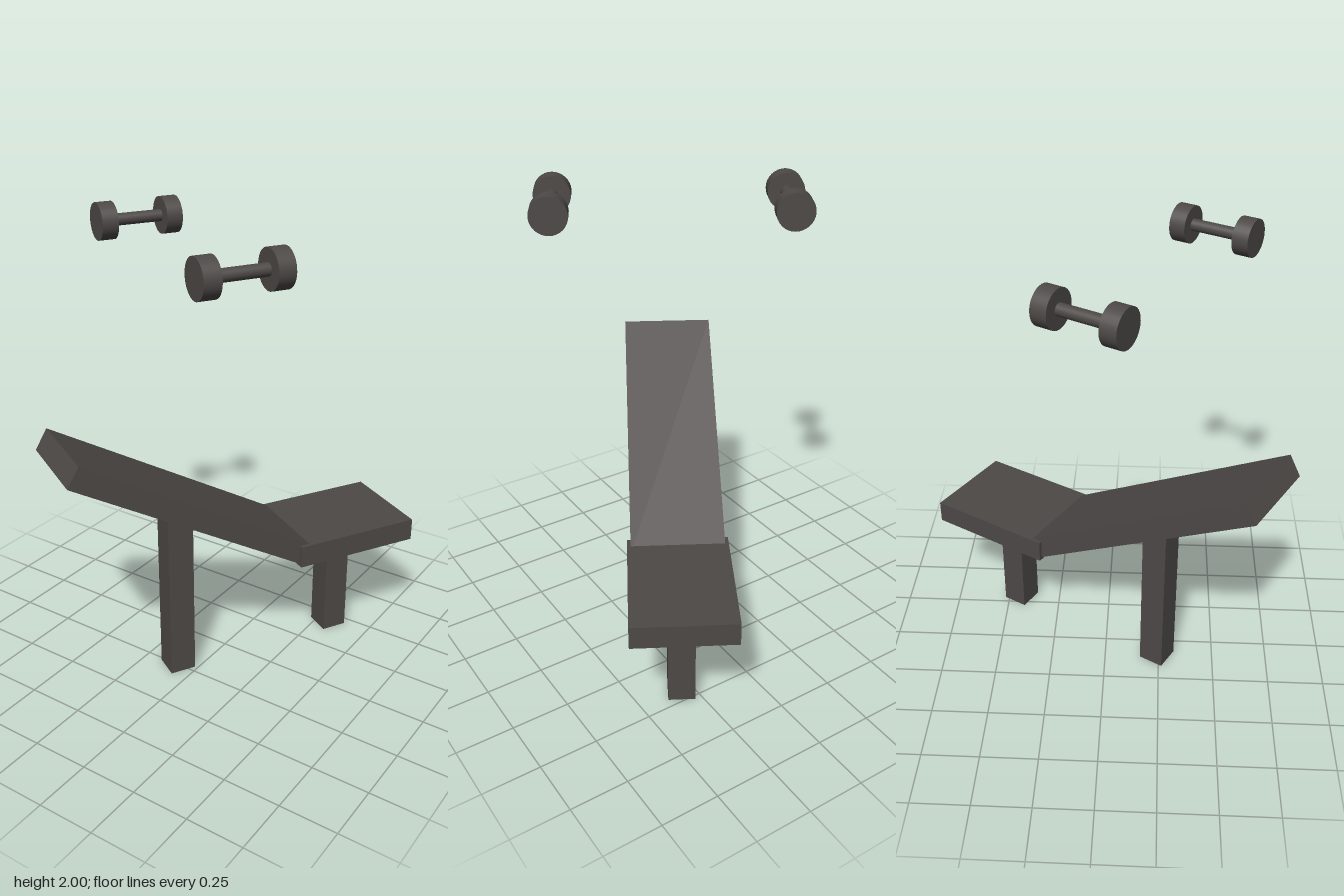
import * as THREE from 'three';

export function createModel() {
  const model = new THREE.Group();
  model.name = 'weightBench';
  const charcoal = new THREE.MeshStandardMaterial({ color: 0x4d4947 });
  charcoal.name = 'charcoal';

  const add = (parent, name, geometry, x, y, z) => {
    const mesh = new THREE.Mesh(geometry, charcoal);
    mesh.name = name;
    mesh.position.set(x, y, z);
    parent.add(mesh);
    return mesh;
  };

  // Everything is laid out along local z, then turned as a whole
  const axisX = 0.041;
  model.rotation.y = -Math.PI / 6;

  // Flat seat and inclined backrest
  add(model, 'seat', new THREE.BoxGeometry(0.43, 0.1, 0.577), axisX, 0.537, -0.534);
  const back = add(model, 'backrest', new THREE.BoxGeometry(0.4, 0.1, 1.21), axisX, 0.83, 0.229);
  back.rotation.x = -Math.PI / 6;

  // Square posts
  const post = (name, height, z) =>
    add(model, name, new THREE.BoxGeometry(0.115, height, 0.115), axisX, height / 2, z);
  post('backrestLeg', 0.785, 0.256);
  post('seatLeg', 0.5, -0.532);

  // A pair of dumbbells floating either side of the bench
  const headGeometry = new THREE.CylinderGeometry(0.078, 0.078, 0.07, 32).rotateX(Math.PI / 2);
  const barGeometry = new THREE.CylinderGeometry(0.025, 0.025, 0.29, 24).rotateX(Math.PI / 2);
  for (const side of [-1, 1]) {
    const dumbbell = new THREE.Group();
    dumbbell.name = side < 0 ? 'rightDumbbell' : 'leftDumbbell';
    dumbbell.position.set(axisX + side * 0.482, 1.922, 0.195);
    add(dumbbell, 'bar', barGeometry, 0, 0, 0);
    add(dumbbell, 'frontWeight', headGeometry, 0, 0, 0.142);
    add(dumbbell, 'backWeight', headGeometry, 0, 0, -0.142);
    model.add(dumbbell);
  }

  const root = new THREE.Group();
  root.name = 'benchWithDumbbells';
  root.add(model);
  return root;
}
